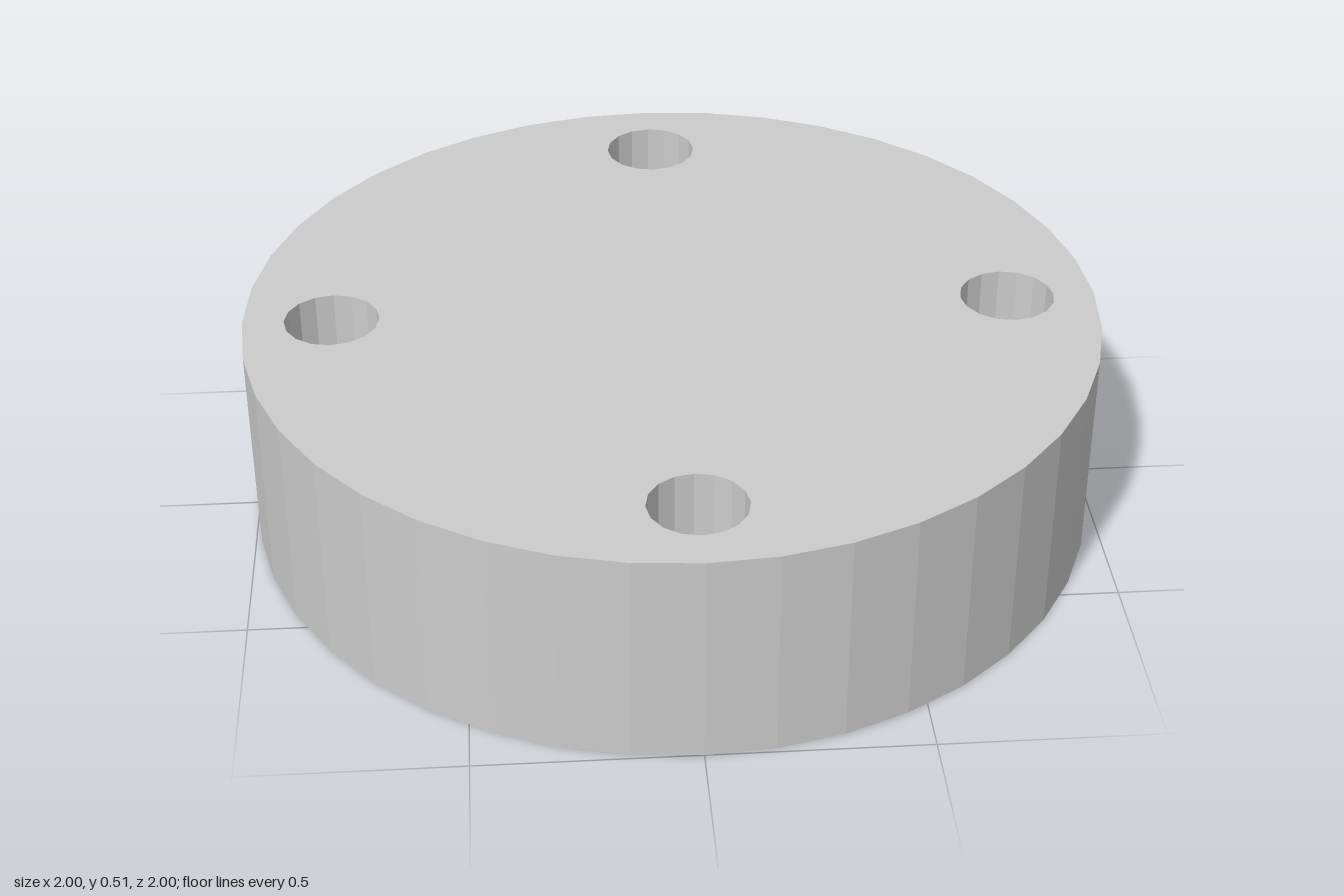
import * as THREE from 'three';

const HEIGHT = 0.51;

// Points of a regular polygon around (cx, cy)
function ring(cx, cy, radius, sides) {
  return Array.from({ length: sides }, (_, i) => {
    const a = (i / sides) * Math.PI * 2;
    return new THREE.Vector2(cx + radius * Math.cos(a), cy + radius * Math.sin(a));
  });
}

export function createModel() {
  const group = new THREE.Group();
  group.name = 'flangeDisc';

  // Faceted disc outline with four through holes near the rim
  const outline = new THREE.Shape(ring(0, 0, 1, 40));
  for (let i = 0; i < 4; i++) {
    const a = (i * Math.PI) / 2;
    outline.holes.push(new THREE.Path(ring(0.793 * Math.cos(a), 0.793 * Math.sin(a), 0.111, 16)));
  }

  const geometry = new THREE.ExtrudeGeometry(outline, { depth: HEIGHT, bevelEnabled: false });
  geometry.rotateX(-Math.PI / 2); // extrusion points up, base on y = 0

  const disc = new THREE.Mesh(
    geometry,
    new THREE.MeshStandardMaterial({ color: 0xcccccc, flatShading: true })
  );
  disc.name = 'drilledDisc';
  group.add(disc);
  return group;
}
